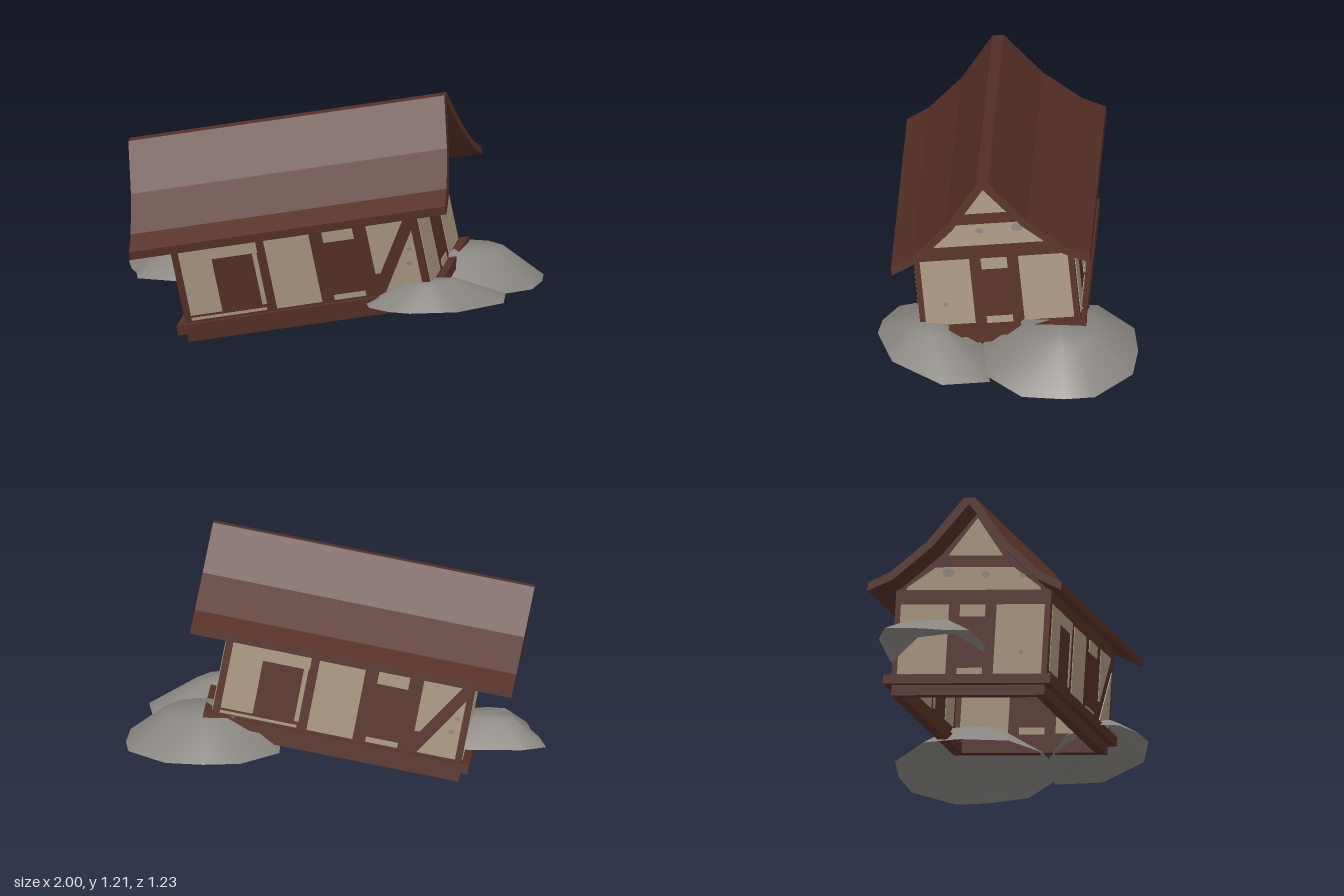
import * as THREE from 'three';

const timber = new THREE.MeshStandardMaterial({ color: 0x552f26, side: THREE.DoubleSide });
timber.name = 'brown timber';
const plaster = new THREE.MeshStandardMaterial({ color: 0xa8947f });
plaster.name = 'beige plaster';
const stone = new THREE.MeshStandardMaterial({ color: 0x888580, side: THREE.DoubleSide });
stone.name = 'grey stone';

// House dimensions; local y = 0 is the ridge
const HALF_LENGTH = 0.61, HALF_WIDTH = 0.385, WALL_BOTTOM = -0.84, WALL_TOP = -0.41;

function add(parent, name, geometry, material) {
  const mesh = new THREE.Mesh(geometry, material);
  mesh.name = name;
  parent.add(mesh);
  return mesh;
}

const shapeOf = (points) => new THREE.Shape(points.map(([x, y]) => new THREE.Vector2(x, y)));
const rect = (x0, x1, y0, y1) => [[x0, y0], [x1, y0], [x1, y1], [x0, y1]];
const mirrorLoop = (half) => [...half, ...half.map(([x, y]) => [-x, y]).reverse()];

function plate(shape, thickness) {
  const g = new THREE.ExtrudeGeometry(shape, { depth: thickness, bevelEnabled: false, curveSegments: 6 });
  return g.translate(0, 0, -thickness / 2);
}

// Timber sheet with plaster fields that show on both faces
function wall(name, outline, panels, spots = []) {
  const group = new THREE.Group();
  group.name = name;
  add(group, 'timberSheet', new THREE.ShapeGeometry(shapeOf(outline)), timber);
  panels.forEach((p) => add(group, 'plasterPanel', plate(shapeOf(p), 0.008), plaster));
  spots.forEach(([x, y, r]) => {
    const s = new THREE.Shape().absellipse(x, y, r, r * 0.75, 0, Math.PI * 2);
    add(group, 'bareStoneSpot', plate(s, 0.0095), stone);
  });
  return group;
}

// Open rectangular base frame
function frame(halfX, halfZ, width, top, height) {
  const s = shapeOf(rect(-halfX, halfX, -halfZ, halfZ));
  s.holes.push(shapeOf(rect(-halfX + width, halfX - width, -halfZ + width, halfZ - width)));
  const g = new THREE.ExtrudeGeometry(s, { depth: height, bevelEnabled: false });
  return g.rotateX(Math.PI / 2).translate(0, top, 0);
}

// Low mound: ground outline, shrunken plateau ring and a centre point
function mound(outline, baseY, topY, shrink) {
  const n = outline.length;
  const cx = outline.reduce((s, p) => s + p[0], 0) / n;
  const cz = outline.reduce((s, p) => s + p[1], 0) / n;
  const pos = [], index = [];
  for (const [k, y] of [[1, baseY], [shrink, topY]])
    for (const [x, z] of outline) pos.push(cx + (x - cx) * k, y, cz + (z - cz) * k);
  pos.push(cx, topY + 0.002, cz);
  for (let i = 0; i < n; i++) {
    const j = (i + 1) % n;
    index.push(i, j, n + j, i, n + j, n + i, n + i, n + j, 2 * n);
  }
  const g = new THREE.BufferGeometry();
  g.setAttribute('position', new THREE.Float32BufferAttribute(pos, 3));
  g.setIndex(index);
  g.computeVertexNormals();
  return g;
}

function buildHouse() {
  const house = new THREE.Group();
  house.name = 'house';

  // Flared roof with a narrow flat ridge
  const roof = mirrorLoop([[0.027, 0], [0.196, -0.215], [0.37, -0.365], [0.48, -0.42],
    [0.48, -0.46], [0.355, -0.403], [0.168, -0.24], [0.002, -0.035]].reverse());
  add(house, 'roof', plate(shapeOf(roof), 1.575).rotateY(-Math.PI / 2), timber);

  // Long walls, the back one turned half round
  const longOutline = rect(-HALF_LENGTH, HALF_LENGTH, WALL_BOTTOM, WALL_TOP);
  const longPanels = [
    rect(-0.575, -0.418, -0.805, -0.48), rect(-0.418, -0.19, -0.54, -0.48),
    rect(-0.217, -0.195, -0.8, -0.54), rect(-0.575, -0.2, -0.83, -0.817),
    rect(-0.15, 0.075, -0.83, -0.485),
    rect(0.14, 0.292, -0.54, -0.48), rect(0.137, 0.294, -0.83, -0.805),
    [[0.36, -0.73], [0.385, -0.73], [0.55, -0.476], [0.36, -0.476]],
    [[0.39, -0.83], [0.577, -0.83], [0.577, -0.54]],
  ];
  for (const side of [1, -1]) {
    const w = wall(side > 0 ? 'frontWall' : 'backWall', longOutline, longPanels,
      [[0.535, -0.7, 0.015], [0.55, -0.63, 0.012]]);
    w.position.z = side * HALF_WIDTH;
    if (side < 0) w.rotation.y = Math.PI;
    house.add(w);
  }

  // Gable walls
  const gable = mirrorLoop([[HALF_WIDTH, WALL_BOTTOM], [HALF_WIDTH, WALL_TOP],
    [0.36, -0.4], [0.165, -0.232], [0.002, -0.025]]);
  const gablePanels = [
    [[-0.135, -0.245], [0.135, -0.245], [0, -0.06]],
    mirrorLoop([[0.335, -0.415], [0.328, -0.4], [0.192, -0.303]]),
    rect(0.118, 0.357, -0.83, -0.487), rect(-0.357, -0.118, -0.83, -0.487),
    rect(-0.063, 0.063, -0.546, -0.488), rect(-0.063, 0.063, -0.835, -0.8),
  ];
  const gableSpots = [[-0.129, -0.33, 0.03], [0.053, -0.338, 0.02], [0.24, -0.345, 0.014], [0.253, -0.723, 0.013]];
  for (const side of [1, -1]) {
    const w = wall(side > 0 ? 'leftGableWall' : 'rightGableWall', gable, gablePanels, gableSpots);
    w.position.x = side * HALF_LENGTH;
    w.rotation.y = -Math.PI / 2;
    house.add(w);
  }

  // Two-tier open base
  add(house, 'upperBaseFrame', frame(0.65, 0.415, 0.06, WALL_BOTTOM, 0.045), timber);
  add(house, 'lowerBaseFrame', frame(0.615, 0.38, 0.05, -0.885, 0.05), timber);

  // Tilt of the whole house
  const along = new THREE.Vector3(0.971, 0.184, 0.152).normalize();
  const across = new THREE.Vector3(-0.134, -0.103, 0.985);
  const up = across.clone().cross(along).normalize();
  across.crossVectors(along, up);
  house.quaternion.setFromRotationMatrix(new THREE.Matrix4().makeBasis(along, up, across));
  house.position.set(-0.215, 1.065, 0.008);
  return house;
}

export function createModel() {
  const model = new THREE.Group();
  model.name = 'tiltedCottage';
  model.add(buildHouse());

  // Stone mounds
  add(model, 'largeMound', mound([[0.28, -0.46], [0.26, -0.28], [0.3, -0.05], [0.45, 0.1], [0.62, 0.145],
    [0.79, 0.12], [0.96, -0.02], [1, -0.22], [1, -0.37], [0.84, -0.57], [0.66, -0.615], [0.48, -0.615]],
  0.222, 0.38, 0.47), stone);
  add(model, 'frontMound', mound([[0.55, 0.12], [0.3, 0.22], [0.18, 0.38], [0.2, 0.49], [0.3, 0.58],
    [0.4, 0.615], [0.53, 0.59], [0.63, 0.57], [0.84, 0.35], [0.84, 0.12]],
  0.232, 0.345, 0.36), stone);
  add(model, 'sideMound', mound([[-1, -0.52], [-0.98, -0.35], [-0.95, -0.24], [-0.94, -0.12], [-0.75, -0.06],
    [-0.5, -0.1], [-0.34, -0.25], [-0.4, -0.42], [-0.62, -0.53], [-0.88, -0.56]],
  0.237, 0.345, 0.45), stone);
  return model;
}
